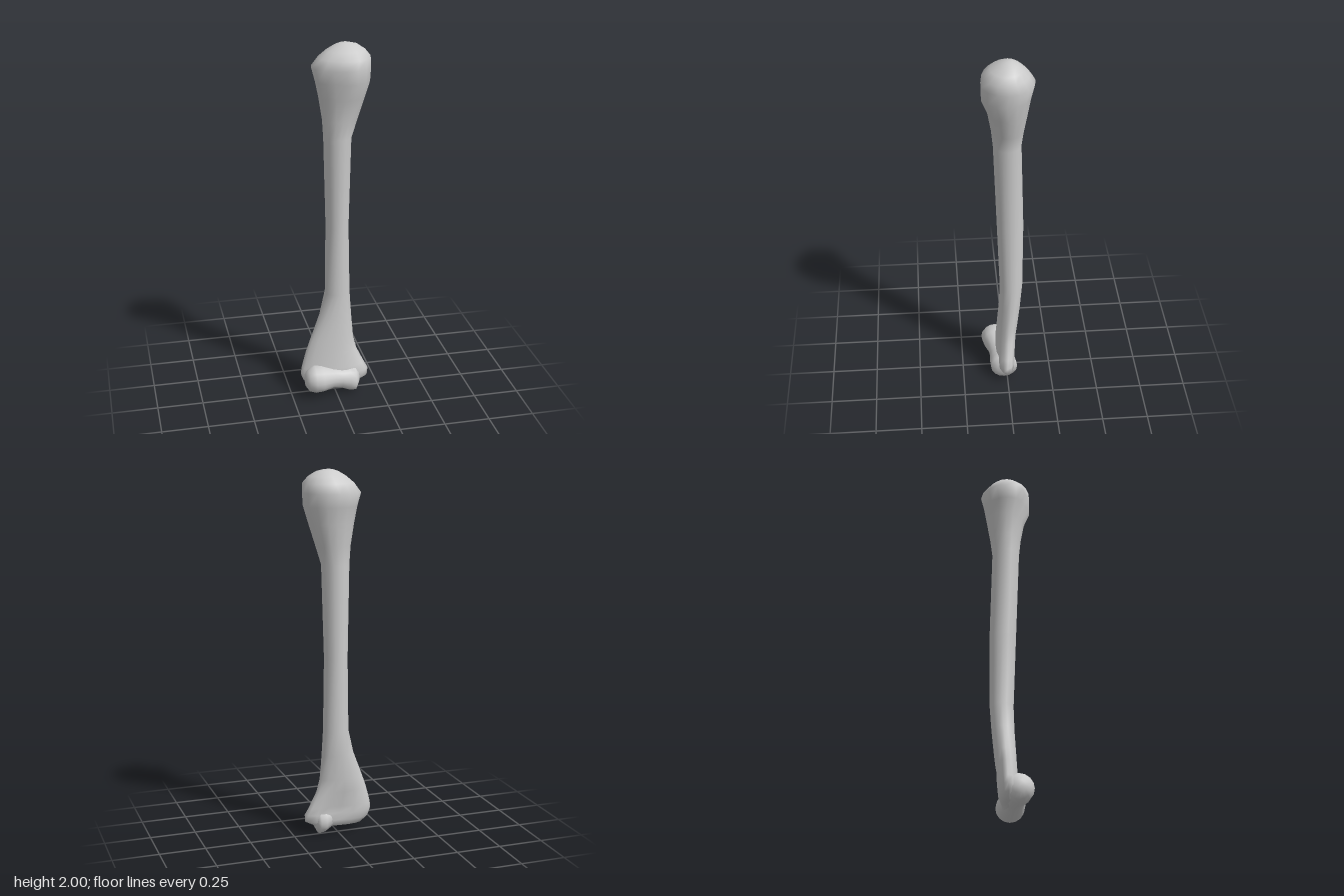
import * as THREE from 'three';

const SIDES = 16;

// Skin a stack of closed rings and cap both ends; normals stay smooth.
function loft(name, rings) {
  const n = rings[0].length, points = rings.flat(), index = [];
  for (let r = 0; r < rings.length - 1; r++) {
    for (let i = 0; i < n; i++) {
      const a = r * n + i, b = r * n + (i + 1) % n;
      index.push(a, a + n, b, b, a + n, b + n);
    }
  }
  const middle = ring => ring.reduce((s, p) => s.add(p), new THREE.Vector3()).divideScalar(n);
  const start = points.length, last = (rings.length - 1) * n;
  points.push(middle(rings[0]), middle(rings[rings.length - 1]));
  for (let i = 0; i < n; i++) {
    const j = (i + 1) % n;
    index.push(start, i, j, start + 1, last + j, last + i);
  }
  const geometry = new THREE.BufferGeometry().setFromPoints(points);
  geometry.setIndex(index);
  geometry.computeVertexNormals();
  const mesh = new THREE.Mesh(geometry, new THREE.MeshStandardMaterial({ color: 0xcccccc }));
  mesh.name = name;
  return mesh;
}

// Soft falloff used to carve hollows and raise bumps.
const near = (p, x, y, rx, ry) => Math.exp(-(((p.x - x) / rx) ** 2) - ((p.y - y) / ry) ** 2);

export function createModel() {
  const group = new THREE.Group();
  group.name = 'armBone';

  // Shaft and head: y, min x, max x, back z, front z
  const rows = [
    [0.045, -0.14, 0.125, -0.03, 0.045],
    [0.08, -0.18, 0.188, -0.052, 0.06],
    [0.12, -0.195, 0.19, -0.057, 0.065],
    [0.16, -0.19, 0.168, -0.06, 0.06],
    [0.25, -0.165, 0.125, -0.062, 0.052],
    [0.32, -0.14, 0.108, -0.067, 0.048],
    [0.46, -0.085, 0.098, -0.08, 0.04],
    [0.6, -0.05, 0.09, -0.09, 0.036],
    [1.0, -0.045, 0.08, -0.093, 0.05],
    [1.5, -0.06, 0.09, -0.08, 0.068],
    [1.6, -0.066, 0.122, -0.092, 0.078],
    [1.72, -0.085, 0.16, -0.112, 0.102],
    [1.81, -0.105, 0.183, -0.128, 0.14],
    [1.88, -0.122, 0.19, -0.146, 0.14],
    [1.93, -0.088, 0.186, -0.115, 0.127],
    [1.965, -0.045, 0.158, -0.085, 0.085],
    [1.99, 0.0, 0.12, -0.055, 0.04],
    [2.0, 0.03, 0.08, -0.03, 0.01],
  ];
  const shaftRings = rows.map(([y, x0, x1, z0, z1]) =>
    Array.from({ length: SIDES }, (_, i) => {
      const t = i / SIDES * Math.PI * 2;
      const p = new THREE.Vector3(
        (x0 + x1) / 2 + (x1 - x0) / 2 * Math.cos(t), y,
        (z0 + z1) / 2 + (z1 - z0) / 2 * Math.sin(t));
      // groove between the tubercles in front, elbow hollow behind
      if (Math.sin(t) > 0.1) p.z -= 0.035 * near(p, -0.02, 1.83, 0.06, 0.09);
      if (Math.sin(t) < -0.1) p.z += 0.035 * near(p, 0.02, 0.14, 0.06, 0.08);
      return p;
    }));
  group.add(loft('shaftAndHead', shaftRings));

  // Elbow joint: x, centre y, centre z, radius (round knob, waist, then pulley)
  const joint = [
    [-0.178, 0.105, 0.055, 0.035],
    [-0.16, 0.105, 0.058, 0.062],
    [-0.125, 0.11, 0.056, 0.08],
    [-0.08, 0.105, 0.05, 0.076],
    [-0.02, 0.1, 0.04, 0.062],
    [0.03, 0.09, 0.032, 0.062],
    [0.075, 0.08, 0.022, 0.074],
    [0.11, 0.076, 0.018, 0.075],
    [0.13, 0.082, 0.015, 0.045],
  ];
  const jointRings = joint.map(([x, cy, cz, r]) =>
    Array.from({ length: SIDES }, (_, i) => {
      const t = i / SIDES * Math.PI * 2;
      return new THREE.Vector3(x, cy + r * Math.cos(t), cz - r * Math.sin(t));
    }));
  group.add(loft('elbowJoint', jointRings));

  return group;
}
